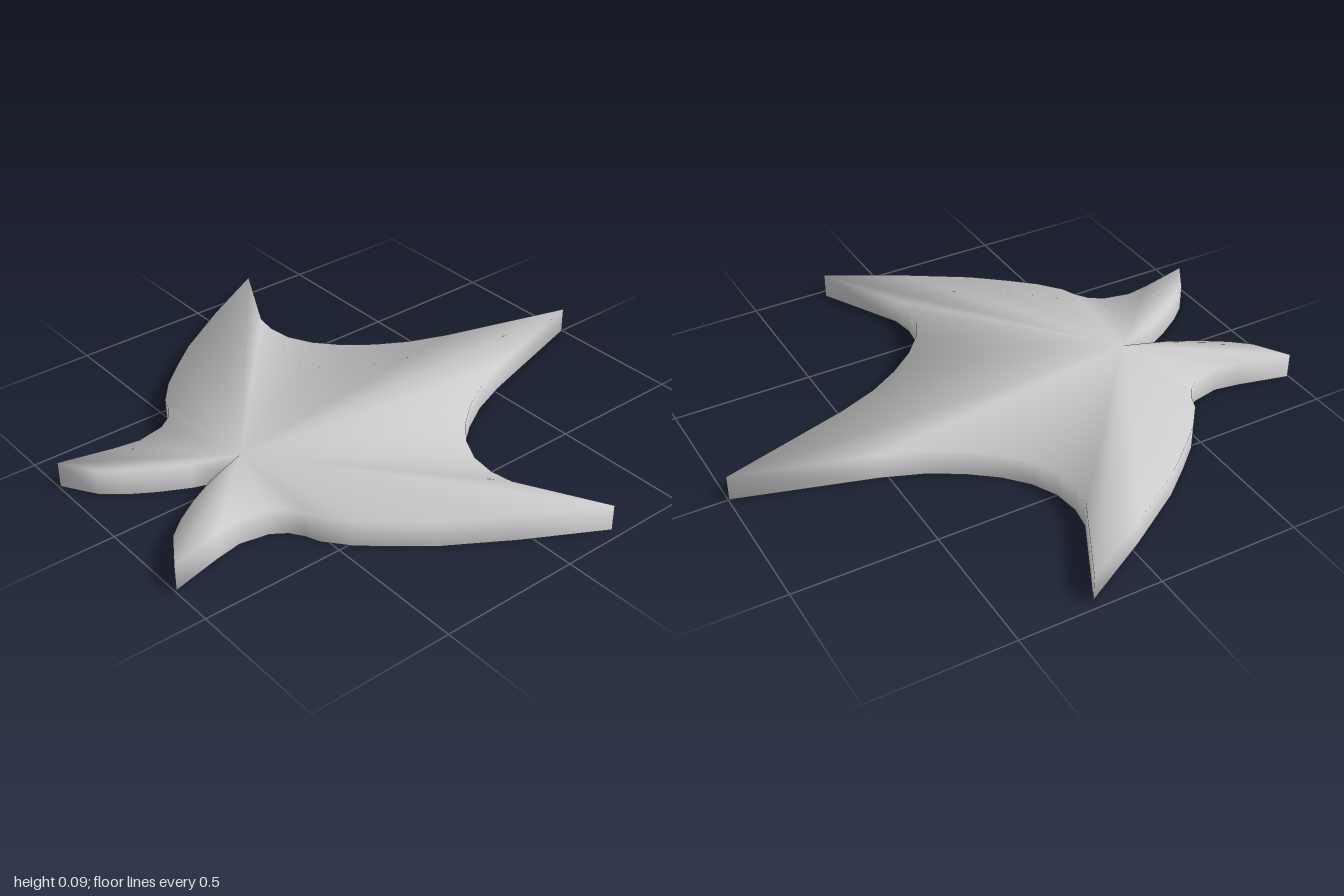
import * as THREE from 'three';

const HEIGHT = 0.095;

// Half outline (x, z) from the stem notch, round the small lobe and the side lobe, to the rear tip
const HALF = [
  [0, 0.51], [0.055, 0.665], [0.11, 0.77], [0.165, 0.855], [0.22, 0.92], [0.34, 0.995],
  [0.295, 0.81], [0.28, 0.72], [0.3, 0.62], [0.335, 0.57], [0.38, 0.54],
  [0.43, 0.52], [0.51, 0.455], [0.59, 0.365], [0.68, 0.255], [0.82, 0.035], [0.967, -0.225],
  [0.67, -0.068], [0.59, -0.055], [0.5, -0.067], [0.415, -0.11], [0.335, -0.18],
  [0.26, -0.275], [0.195, -0.385], [0.14, -0.525], [0, -0.998],
];

function leafGeometry() {
  // Mirror the half to close the outline
  const outline = HALF.concat(HALF.slice(1, -1).reverse().map(([x, z]) => [-x, z]));
  const n = outline.length;
  const positions = [], normals = [], index = [];
  const edgeDir = (i) => {
    const a = outline[(i + n) % n], b = outline[(i + 1) % n];
    return new THREE.Vector2(b[0] - a[0], b[1] - a[1]).normalize();
  };

  // Two rings of shared vertices, with normals blended between blade and rim
  outline.forEach(([x, z], i) => {
    const before = edgeDir(i - 1), after = edgeDir(i);
    const turn = Math.atan2(before.y * after.x - before.x * after.y, before.dot(after));
    const outX = -(before.y + after.y) / 2, outZ = (before.x + after.x) / 2;
    const top = new THREE.Vector3(outX, 1 - turn / Math.PI, outZ).normalize();
    const low = new THREE.Vector3(outX, 0, outZ).normalize();
    positions.push(x, HEIGHT, z, x, 0, z);
    normals.push(...top.toArray(), ...low.toArray());
  });

  for (let i = 0; i < n; i++) {
    const t = 2 * i, u = 2 * ((i + 1) % n);
    // Rim wall
    index.push(t, t + 1, u + 1, t, u + 1, u);
    // Blade, fanned out from the stem notch
    if (i > 0 && i < n - 1) index.push(0, t, u);
  }

  const geometry = new THREE.BufferGeometry();
  geometry.setAttribute('position', new THREE.Float32BufferAttribute(positions, 3));
  geometry.setAttribute('normal', new THREE.Float32BufferAttribute(normals, 3));
  geometry.setIndex(index);
  return geometry;
}

export function createModel() {
  const group = new THREE.Group();
  group.name = 'leaf';
  // Shell with a flat blade and a rim, open underneath
  const material = new THREE.MeshStandardMaterial({ color: 0xcccccc, side: THREE.DoubleSide });
  const leaf = new THREE.Mesh(leafGeometry(), material);
  leaf.name = 'leafBlade';
  group.add(leaf);
  return group;
}
